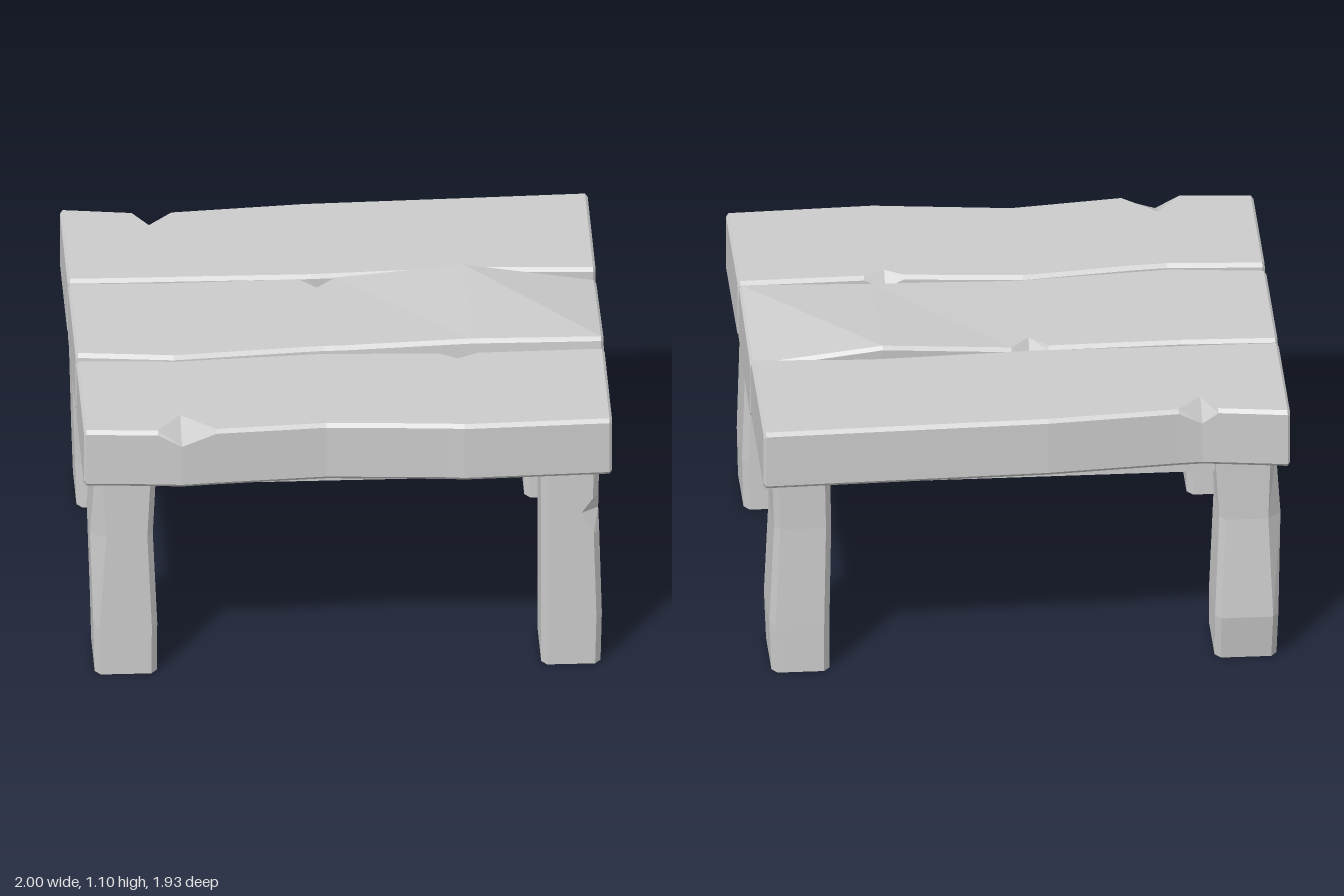
import * as THREE from 'three';

const material = new THREE.MeshStandardMaterial({ color: 0xcccccc, flatShading: true, side: THREE.DoubleSide });

// Skin a series of closed rings (counter-clockwise seen against the loft direction)
function loft(name, rings, capped) {
  const pos = [];
  const tri = (...pts) => pts.forEach((p) => pos.push(p.x, p.y, p.z));
  const n = rings[0].length;
  for (let k = 0; k + 1 < rings.length; k++) {
    const a = rings[k], b = rings[k + 1];
    for (let i = 0; i < n; i++) {
      const j = (i + 1) % n;
      tri(a[i], a[j], b[j]);
      tri(a[i], b[j], b[i]);
    }
  }
  const first = rings[0], last = rings[rings.length - 1];
  if (capped) for (let i = 1; i + 1 < n; i++) {
    tri(first[0], first[i + 1], first[i]);
    tri(last[0], last[i], last[i + 1]);
  }
  const geometry = new THREE.BufferGeometry();
  geometry.setAttribute('position', new THREE.Float32BufferAttribute(pos, 3));
  geometry.computeVertexNormals();
  const mesh = new THREE.Mesh(geometry, material);
  mesh.name = name;
  return mesh;
}

// Rectangle with four bevelled corners; each bevel is [du, dv]
function section(u0, u1, v0, v1, [a, b, c, d]) {
  return [
    [u0, v0 + a[1]], [u0 + a[0], v0],
    [u1 - b[0], v0], [u1, v0 + b[1]],
    [u1, v1 - c[1]], [u1 - c[0], v1],
    [u0 + d[0], v1], [u0, v1 - d[1]],
  ];
}

// Plank along x. Station: [x, back z, front z, back lift, front lift, back chip, front chip]
function plank(name, stations, lean = 0) {
  const bottom = 0.83, top = 1.065, bevel = [0.014, 0.014], inset = 0.01;
  const ring = ([x, zb, zf, liftB = 0, liftF = 0, chipB, chipF], shrink = 0) =>
    section(bottom + shrink, top - shrink, zb + shrink, zf - shrink, [bevel, chipB || bevel, chipF || bevel, bevel])
      .map(([y, z]) => {
        const t = (z - zb) / (zf - zb);
        return new THREE.Vector3(x, y + liftB + (liftF - liftB) * t, z + (top - y) * lean);
      });
  const rings = stations.map((s) => ring(s));
  const s0 = stations[0], s1 = stations[stations.length - 1];
  rings[0].forEach((p) => { p.x += inset; });
  rings[rings.length - 1].forEach((p) => { p.x -= inset; });
  return loft(name, [ring(s0, inset), ...rings, ring(s1, inset)], true);
}

// Hollow leg. Station: [y, x0, x1, z0, z1, bevel at the outer front or back corner]
function leg(name, sx, sz, stations) {
  const bevel = [0.03, 0.022];
  const corner = sz < 0 ? (sx < 0 ? 0 : 3) : (sx < 0 ? 1 : 2);
  return loft(name, stations.map(([y, x0, x1, z0, z1, chip]) => {
    const bevels = [bevel, bevel, bevel, bevel];
    if (chip) bevels[corner] = chip;
    return section(z0, z1, x0, x1, bevels).map(([z, x]) => new THREE.Vector3(x, y, z));
  }), false);
}

function rail(name, w, d, x, z) {
  const mesh = new THREE.Mesh(new THREE.BoxGeometry(w, 0.11, d), material);
  mesh.position.set(x, 0.785, z);
  mesh.name = name;
  return mesh;
}

export function createModel() {
  const table = new THREE.Group();
  table.name = 'plankTable';

  // Table top: three uneven planks with chipped edges
  table.add(
    plank('backPlank', [
      [-1, -0.925, -0.325],
      [-0.73, -0.888, -0.322],
      [-0.67, -0.88, -0.322, 0, 0, [0.06, 0.11]],
      [-0.58, -0.885, -0.322],
      [-0.08, -0.93, -0.318],
      [0.55, -0.95, -0.348],
      [1, -0.965, -0.323],
    ]),
    plank('middlePlank', [
      [-1, -0.308, 0.292],
      [-0.63, -0.297, 0.33],
      [-0.13, -0.307, 0.285],
      [-0.06, -0.31, 0.28, 0, 0, [0.06, 0.09]],
      [0.01, -0.313, 0.28],
      [0.5, -0.33, 0.27, 0.035, 0.012],
      [1, -0.31, 0.285, -0.035, 0.018],
    ], 0.08),
    plank('frontPlank', [
      [-1, 0.335, 0.935],
      [-0.72, 0.35, 0.953],
      [-0.63, 0.357, 0.962, 0, 0, null, [0.06, 0.15]],
      [-0.5, 0.347, 0.95],
      [-0.08, 0.308, 0.908, -0.006, -0.006],
      [0.37, 0.335, 0.948],
      [0.44, 0.34, 0.957, 0, 0, [0.05, 0.055]],
      [0.52, 0.338, 0.954],
      [1, 0.328, 0.935],
    ]),
  );

  // Legs, open at the foot
  table.add(
    leg('frontRightLeg', -1, 1, [
      [0, -0.955, -0.72, 0.54, 0.87],
      [0.2, -0.96, -0.718, 0.54, 0.87],
      [0.58, -0.972, -0.735, 0.54, 0.87, [0.05, 0.06]],
      [0.85, -0.953, -0.722, 0.54, 0.87],
    ]),
    leg('frontLeftLeg', 1, 1, [
      [0, 0.735, 0.96, 0.54, 0.87],
      [0.2, 0.735, 0.965, 0.54, 0.87],
      [0.55, 0.735, 0.955, 0.54, 0.87],
      [0.64, 0.735, 0.952, 0.54, 0.87, [0.05, 0.065]],
      [0.7, 0.735, 0.952, 0.54, 0.87],
      [0.85, 0.735, 0.955, 0.54, 0.87],
    ]),
    leg('backRightLeg', -1, -1, [
      [0, -0.955, -0.72, -0.85, -0.52],
      [0.18, -0.96, -0.72, -0.88, -0.53],
      [0.58, -0.972, -0.738, -0.848, -0.52, [0.05, 0.05]],
      [0.85, -0.953, -0.722, -0.85, -0.52],
    ]),
    leg('backLeftLeg', 1, -1, [
      [0, 0.74, 0.96, -0.85, -0.52],
      [0.2, 0.74, 0.968, -0.85, -0.52],
      [0.6, 0.733, 0.95, -0.845, -0.52],
      [0.85, 0.738, 0.958, -0.85, -0.52],
    ]),
  );

  // Rails joining the legs under the planks
  for (const s of [-1, 1]) {
    table.add(rail('sideRail', 0.065, 1.2, s * 0.835, 0));
    table.add(rail('longRail', 1.55, 0.08, 0, s * 0.69));
  }
  return table;
}
